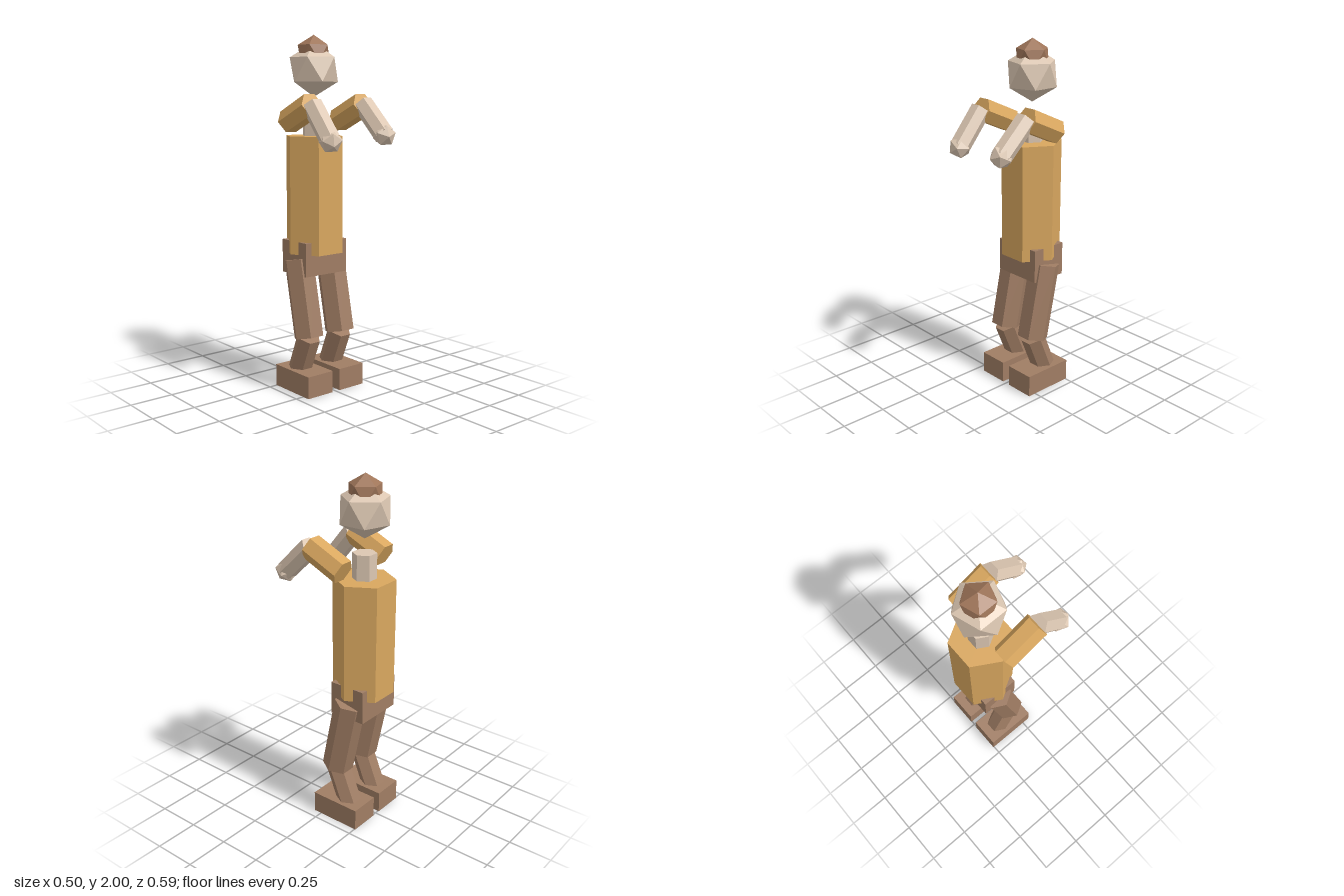
import * as THREE from 'three';
import { ConvexGeometry } from 'three/addons/geometries/ConvexGeometry.js';

const material = (name, color) => {
  const m = new THREE.MeshStandardMaterial({ color, flatShading: true });
  m.name = name;
  return m;
};

export function createModel() {
  const model = new THREE.Group();
  model.name = 'blockyFigure';
  const shirt = material('ochre shirt', 0xd9a75f);
  const brown = material('brown trousers', 0xa07d64);
  const skin = material('pale skin', 0xdcc7b2);
  const hair = material('brown hair', 0xa0765a);
  const Z = -0.148; // body axis
  const up = new THREE.Vector3(0, 1, 0);

  const add = (name, geometry, mat, x, y, z) => {
    const mesh = new THREE.Mesh(geometry, mat);
    mesh.name = name;
    mesh.position.set(x, y, z);
    model.add(mesh);
    return mesh;
  };

  // Six-sided limb between two points, with flat sides facing front and back
  const limb = (name, mat, radius, from, to) => {
    const a = new THREE.Vector3(...from);
    const b = new THREE.Vector3(...to);
    const dir = b.clone().sub(a);
    const geometry = new THREE.CylinderGeometry(radius, radius, dir.length(), 6).rotateY(Math.PI / 6);
    const mid = a.add(b).multiplyScalar(0.5);
    const mesh = add(name, geometry, mat, mid.x, mid.y, mid.z);
    mesh.quaternion.setFromUnitVectors(up, dir.normalize());
    return mesh;
  };

  // Twenty-sided ball with a corner at each pole
  const ball = (name, mat, radius, x, y, z) => {
    const points = [new THREE.Vector3(0, radius, 0), new THREE.Vector3(0, -radius, 0)];
    const h = radius / Math.sqrt(5);
    for (let i = 0; i < 10; i++) {
      const t = (i * Math.PI) / 5;
      points.push(new THREE.Vector3(2 * h * Math.cos(t), i % 2 ? -h : h, 2 * h * Math.sin(t)));
    }
    return add(name, new ConvexGeometry(points), mat, x, y, z);
  };

  // Trunk and head
  limb('torso', shirt, 0.17, [0, 0.785, Z], [0, 1.445, Z]);
  limb('neck', skin, 0.066, [0, 1.42, Z], [0, 1.585, Z]);
  add('hips', new THREE.BoxGeometry(0.292, 0.19, 0.216), brown, 0, 0.762, Z);
  ball('head', skin, 0.15, 0, 1.81, Z);
  ball('hair', hair, 0.1, 0, 1.9, Z);

  // Legs
  for (const [side, s] of [['left', 1], ['right', -1]]) {
    const x = s * 0.113;
    limb(side + 'Thigh', brown, 0.088, [x, 0.752, Z], [x, 0.318, -0.058]);
    limb(side + 'Shin', brown, 0.068, [x, 0.318, -0.058], [x, 0.1, Z]);
    add(side + 'Foot', new THREE.BoxGeometry(0.175, 0.125, 0.302), brown, x, 0.0625, -0.104);
  }

  // Arms, one hand held slightly higher
  const arms = [
    ['left', 0.18, [0.18, 1.455, 0.235], [-0.31, -0.1, 0.94]],
    ['right', -0.18, [-0.18, 1.435, 0.215], [-0.31, -0.43, 0.85]],
  ];
  for (const [side, x, wrist, pointing] of arms) {
    const elbow = [x, 1.62, 0.063];
    limb(side + 'UpperArm', shirt, 0.07, [x, 1.526, Z], elbow);
    limb(side + 'Forearm', skin, 0.057, elbow, wrist);
    const hand = ball(side + 'Hand', skin, 0.064, ...wrist);
    hand.quaternion.setFromUnitVectors(up, new THREE.Vector3(...pointing).normalize());
  }
  return model;
}
